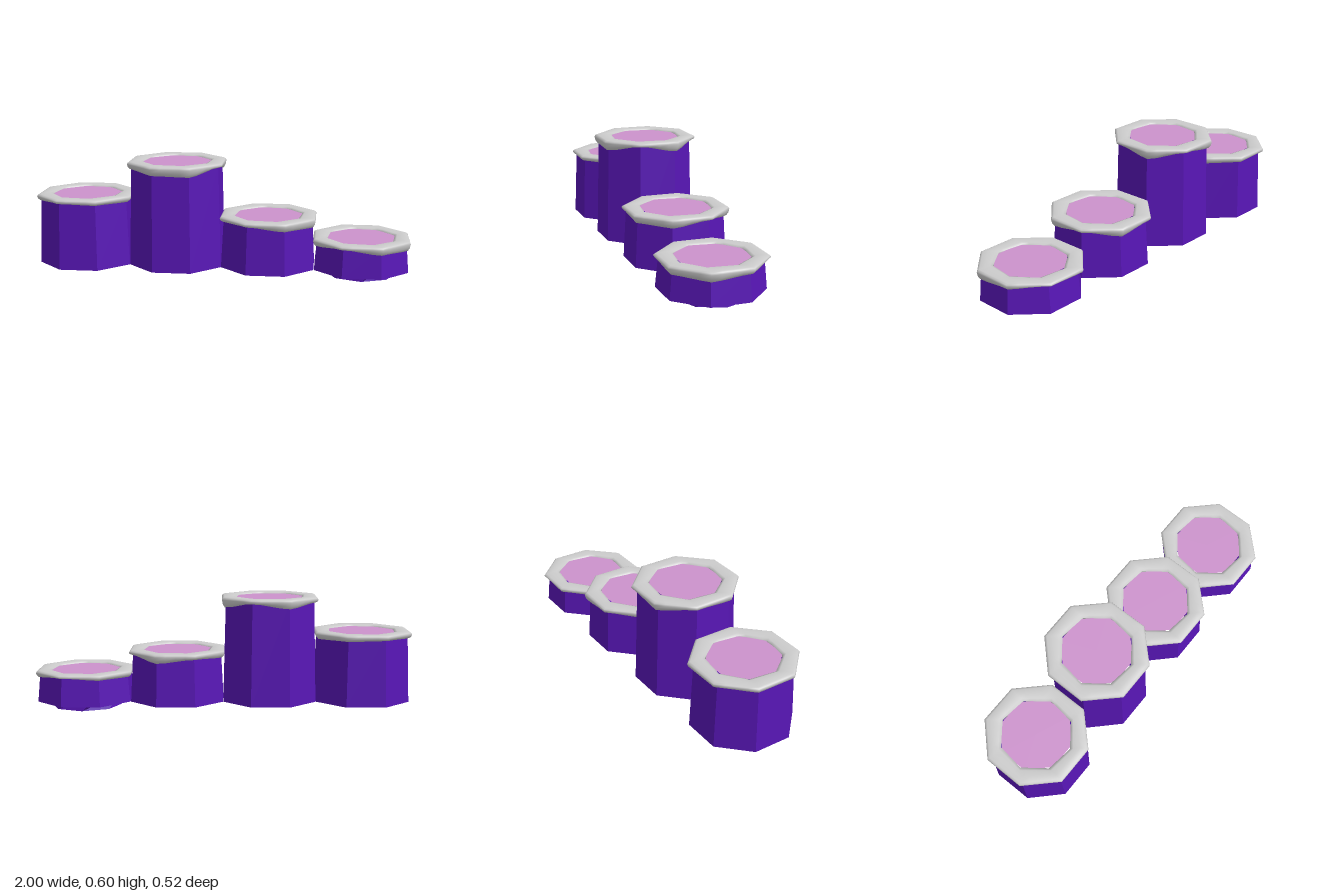
import * as THREE from 'three';

const SIDES = 8, STEP = Math.PI / 4;
const purple = new THREE.MeshStandardMaterial({ color: 0x5816b6, flatShading: true, side: THREE.DoubleSide });
const pink = new THREE.MeshStandardMaterial({ color: 0xcc92cc });
const grey = new THREE.MeshStandardMaterial({ color: 0xcccccc });

// Centre x, top height and how far the rim droops at each of its eight corners
const columns = [
  { x: -0.747, top: 0.415, drops: [0.035, 0.03, 0.025, 0.035, 0.035, 0.03, 0.035, 0.04] },
  { x: -0.248, top: 0.6, drops: [0.022, 0.055, 0.05, 0.04, 0.03, 0.05, 0.025, 0.056] },
  { x: 0.248, top: 0.315, drops: [0.05, 0.045, 0.025, 0.03, 0.04, 0.03, 0.05, 0.025] },
  { x: 0.747, top: 0.205, drops: [0.053, 0.045, 0.022, 0.04, 0.035, 0.03, 0.018, 0.036] },
];

function add(group, name, geometry, material, y = 0) {
  const mesh = new THREE.Mesh(geometry, material);
  mesh.name = name;
  mesh.position.y = y;
  group.add(mesh);
}

// Surface from rows of points, closed in i and, when asked, in j
function loft(ni, nj, wrapJ, point) {
  const pos = [], index = [];
  for (let i = 0; i < ni; i++) for (let j = 0; j < nj; j++) pos.push(...point(i, j));
  for (let i = 0; i < ni; i++) {
    for (let j = 0; j < (wrapJ ? nj : nj - 1); j++) {
      const i2 = (i + 1) % ni, j2 = (j + 1) % nj;
      const a = i * nj + j, b = i2 * nj + j, c = i2 * nj + j2, d = i * nj + j2;
      index.push(a, b, c, a, c, d);
    }
  }
  const g = new THREE.BufferGeometry();
  g.setAttribute('position', new THREE.Float32BufferAttribute(pos, 3));
  g.setIndex(index);
  g.computeVertexNormals();
  return g;
}

// Drooping rim: closed section [radius, depth, share of droop, twist]
function rimGeometry(drops) {
  const section = [
    [0.188, -0.022, 0, 0.13], [0.188, -0.008, 0, 0.13], [0.203, -0.002, 0, 0.1], [0.235, 0, 0, 0.03],
    [0.262, -0.002, 0, 0], [0.272, -0.007, 0, 0], [0.276, -0.012, 0.08, 0], [0.271, -0.008, 0.55, 0],
    [0.261, 0, 1, 0], [0.254, 0, 0.92, 0], [0.247, -0.018, 0, 0], [0.215, -0.024, 0, 0.08],
  ];
  const sub = 4;
  return loft(SIDES * sub, section.length, true, (i, j) => {
    const k = Math.floor(i / sub), t = (i % sub) / sub;
    const [r, depth, share, twist] = section[j];
    const a = (k + 0.5) * STEP + twist, b = a + STEP;
    const drop = THREE.MathUtils.lerp(drops[k], drops[(k + 1) % SIDES], t * t * (3 - 2 * t));
    return [
      r * THREE.MathUtils.lerp(Math.cos(a), Math.cos(b), t),
      depth - share * drop,
      r * 1.02 * THREE.MathUtils.lerp(Math.sin(a), Math.sin(b), t),
    ];
  });
}

// Inner sleeve: hangs under the rim and tapers, its lower ring turned half a side
function sleeveGeometry() {
  const rings = [[0.237, -0.02, 0], [0.222, -0.13, 0], [0.19, -0.205, STEP / 2]];
  return loft(SIDES, rings.length, false, (i, j) => {
    const [r, y, twist] = rings[j];
    const a = (i + 0.5) * STEP + twist;
    return [r * Math.cos(a), y, r * Math.sin(a)];
  });
}

export function createModel() {
  const model = new THREE.Group();
  model.name = 'steppedColumns';
  const base = 0.033;
  columns.forEach(({ x, top, drops }) => {
    const column = new THREE.Group();
    column.name = 'column';
    column.position.x = x;

    // Open eight-sided wall, slightly narrower at the top
    const height = top - 0.014 - base;
    const wall = new THREE.CylinderGeometry(0.253, 0.268, height, SIDES, 1, true, STEP / 2);
    wall.translate(0, 0, 0.004);
    add(column, 'wall', wall, purple, base + height / 2);
    add(column, 'innerSleeve', sleeveGeometry(), purple, top);
    add(column, 'rim', rimGeometry(drops), grey, top);

    // Flat top panel with a grey underside
    const panel = new THREE.CircleGeometry(0.193, SIDES, STEP / 2);
    add(column, 'topPanel', panel.clone().rotateX(-Math.PI / 2), pink, top - 0.01);
    add(column, 'panelUnderside', panel.rotateX(Math.PI / 2), grey, top - 0.014);
    model.add(column);
  });
  return model;
}
